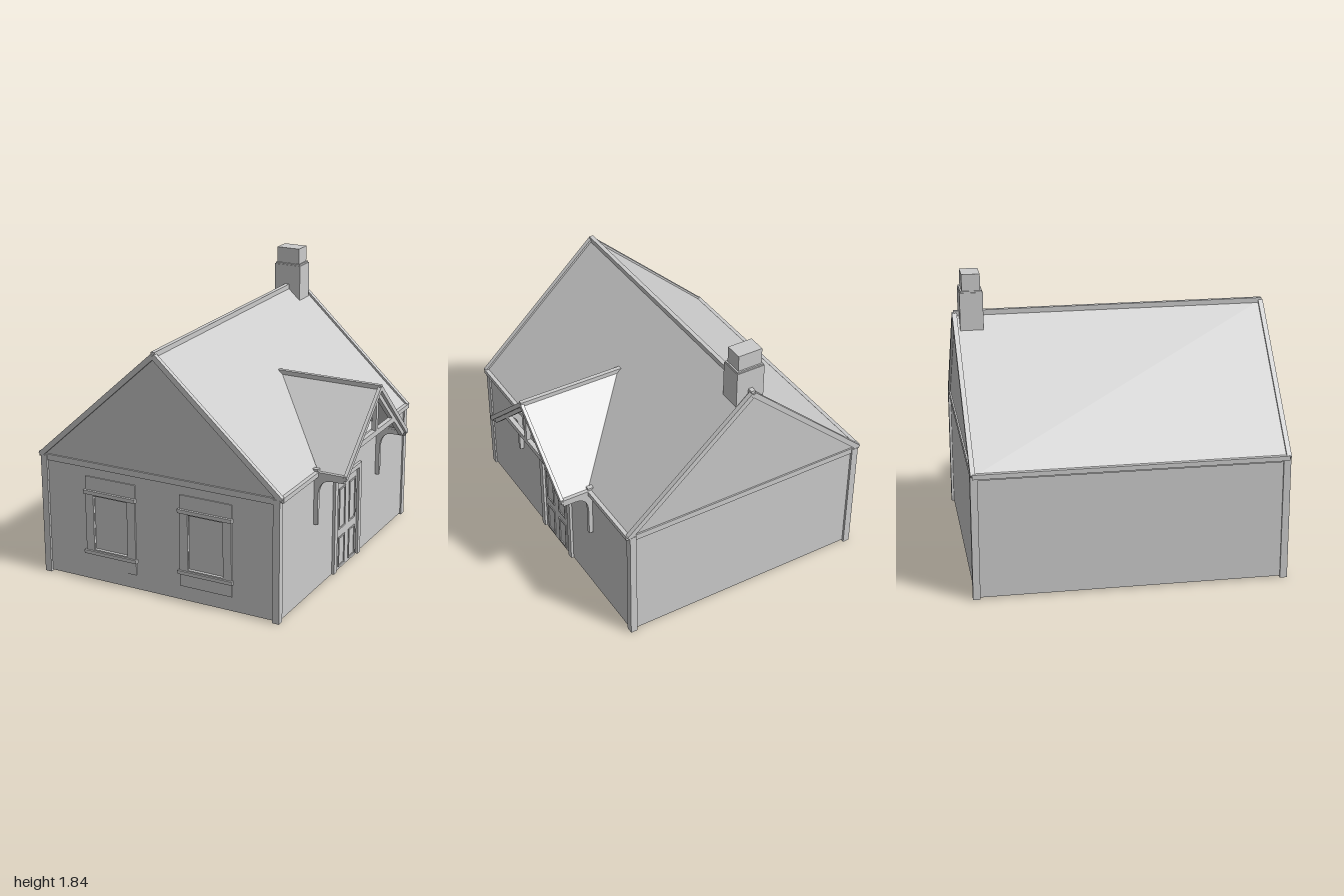
import * as THREE from 'three';

const material = new THREE.MeshStandardMaterial({ color: 0xcccccc, flatShading: true, side: THREE.DoubleSide });
const RX = -0.1; // ridge line of the main roof

function add(parent, name, geometry) {
  const m = new THREE.Mesh(geometry, material);
  m.name = name;
  parent.add(m);
  return m;
}

// Box given by its extents
function box(parent, name, x0, x1, y0, y1, z0, z1) {
  const m = add(parent, name, new THREE.BoxGeometry(x1 - x0, y1 - y0, z1 - z0));
  m.position.set((x0 + x1) / 2, (y0 + y1) / 2, (z0 + z1) / 2);
  return m;
}

// Square timber between two points: w is horizontal, h is across
function beam(parent, name, a, b, w, h) {
  const A = new THREE.Vector3(...a), B = new THREE.Vector3(...b);
  const m = add(parent, name, new THREE.BoxGeometry(w, h, A.distanceTo(B)));
  m.position.copy(A).add(B).multiplyScalar(0.5);
  m.lookAt(B);
  return m;
}

// Flat convex sheet, corners counter-clockwise from outside
function sheet(parent, name, ...pts) {
  const pos = [];
  for (let i = 1; i < pts.length - 1; i++) pos.push(...pts[0], ...pts[i], ...pts[i + 1]);
  const g = new THREE.BufferGeometry();
  g.setAttribute('position', new THREE.Float32BufferAttribute(pos, 3));
  g.computeVertexNormals();
  return add(parent, name, g);
}

function rectPath(Type, x0, x1, y0, y1) {
  return new Type([[x0, y0], [x1, y0], [x1, y1], [x0, y1]].map(p => new THREE.Vector2(...p)));
}

// Rectangular frame in the xy plane, extruded along z
function frame(parent, name, outer, inner, z, depth) {
  const s = rectPath(THREE.Shape, ...outer);
  s.holes.push(rectPath(THREE.Path, ...inner));
  const m = add(parent, name, new THREE.ExtrudeGeometry(s, { depth, bevelEnabled: false }));
  m.position.z = z;
  return m;
}

function makeWalls() {
  const g = new THREE.Group();
  g.name = 'walls';
  const x0 = -0.93, x1 = 0.73, z = 0.967, y0 = 0.01, y1 = 0.81;
  // front wall with two window openings
  const s = rectPath(THREE.Shape, x0, x1, y0, y1);
  for (const c of [-0.44, 0.235]) s.holes.push(rectPath(THREE.Path, c - 0.12, c + 0.12, 0.22, 0.585));
  add(g, 'frontWall', new THREE.ShapeGeometry(s)).position.z = z;
  sheet(g, 'backWall', [x1, y0, -z], [x0, y0, -z], [x0, y1, -z], [x1, y1, -z]);
  sheet(g, 'leftWall', [x1, y0, z], [x1, y0, -z], [x1, y1, -z], [x1, y1, z]);
  sheet(g, 'rightWall', [x0, y0, -z], [x0, y0, z], [x0, y1, z], [x0, y1, -z]);
  // gables lean out a little towards the ridge
  sheet(g, 'frontGable', [x0, 0.8, z], [x1, 0.8, z], [RX, 1.57, 0.982]);
  sheet(g, 'backGable', [x1, 0.8, -z], [x0, 0.8, -z], [RX, 1.57, -0.982]);
  for (const sz of [1, -1]) {
    for (const x of [-0.9175, 0.7175]) {
      const p = box(g, 'cornerPost', x - 0.0225, x + 0.0225, 0, 0.8, -0.0225, 0.0225);
      p.position.z = sz * 0.96;
    }
    const t = box(g, 'gableTrim', -0.93, 0.73, 0.768, 0.808, -0.01, 0.01);
    t.position.z = sz * 0.967;
  }
  box(g, 'sideTrim', 0.72, 0.738, 0.77, 0.8, -0.96, 0.96);
  box(g, 'sideTrim', -0.938, -0.92, 0.77, 0.8, -0.96, 0.96);
  return g;
}

function makeRoof() {
  const g = new THREE.Group();
  g.name = 'mainRoof';
  for (const s of [1, -1]) {
    const e = RX + s * 0.85; // eave position
    const p = [[e, 0.8, 0.965], [e, 0.8, -0.965], [RX, 1.572, -0.985], [RX, 1.572, 0.985]];
    sheet(g, 'roofSlope', ...(s > 0 ? p : p.reverse()));
    for (const sz of [1, -1])
      beam(g, 'rakeBoard', [e - s * 0.004, 0.798, sz * 0.966], [RX, 1.568, sz * 0.984], 0.03, 0.034);
    const x = RX + s * 0.847;
    box(g, 'eaveBoard', x - 0.013, x + 0.013, 0.785, 0.815, -0.97, 0.97);
  }
  box(g, 'ridgeBoard', RX - 0.014, RX + 0.014, 1.56, 1.592, -0.99, 0.99);
  return g;
}

function makeChimney() {
  const g = new THREE.Group();
  g.name = 'chimney';
  box(g, 'chimneyBase', -0.195, -0.005, 1.47, 1.725, -0.955, -0.81);
  box(g, 'chimneyShoulder', -0.19, -0.01, 1.725, 1.735, -0.95, -0.815);
  box(g, 'chimneyTop', -0.183, -0.02, 1.735, 1.84, -0.94, -0.825);
  return g;
}

function makeWindow(cx) {
  const g = new THREE.Group();
  g.name = 'window';
  box(g, 'apron', -0.18, 0.18, 0.105, 0.19, 0.96, 0.974);
  box(g, 'lintel', -0.18, 0.18, 0.62, 0.71, 0.96, 0.974);
  box(g, 'sill', -0.19, 0.19, 0.19, 0.213, 0.955, 0.99);
  box(g, 'head', -0.187, 0.187, 0.595, 0.62, 0.955, 0.99);
  frame(g, 'casing', [-0.18, 0.18, 0.213, 0.595], [-0.122, 0.122, 0.222, 0.585], 0.955, 0.023);
  box(g, 'pane', -0.122, 0.122, 0.222, 0.585, 0.95, 0.957);
  g.position.x = cx;
  return g;
}

// Built facing +z, then turned to face +x
function makeDoor() {
  const g = new THREE.Group();
  g.name = 'door';
  for (const s of [1, -1]) box(g, 'jamb', s * 0.185 - 0.02, s * 0.185 + 0.02, 0.01, 0.65, 0.72, 0.748);
  box(g, 'doorHead', -0.165, 0.165, 0.62, 0.65, 0.72, 0.748);
  box(g, 'doorLeaf', -0.155, 0.155, 0.01, 0.61, 0.725, 0.736);
  for (const s of [1, -1]) for (const [y0, y1] of [[0.03, 0.235], [0.29, 0.57]]) {
    const c = s * 0.078;
    frame(g, 'panelMoulding', [c - 0.048, c + 0.048, y0, y1], [c - 0.038, c + 0.038, y0 + 0.01, y1 - 0.01], 0.73, 0.012);
  }
  g.rotation.y = Math.PI / 2;
  return g;
}

function makePorch() {
  const g = new THREE.Group();
  g.name = 'porch';
  // curved bracket profile
  const b = new THREE.Shape();
  b.moveTo(0.73, 0.465);
  b.lineTo(0.757, 0.465);
  b.lineTo(0.757, 0.65);
  b.bezierCurveTo(0.757, 0.73, 0.79, 0.768, 0.85, 0.768);
  b.lineTo(0.93, 0.768);
  b.lineTo(0.93, 0.8);
  b.lineTo(0.73, 0.8);
  const bracket = new THREE.ExtrudeGeometry(b, { depth: 0.024, bevelEnabled: false, curveSegments: 8 });
  for (const s of [1, -1]) {
    // triangular-ended slope running into the main roof
    const p = [[0.76, 0.8, s * 0.485], [0.942, 0.8, s * 0.485], [0.95, 1.245, 0], [0.26, 1.245, 0]];
    sheet(g, 'porchSlope', ...(s > 0 ? p : p.reverse()));
    beam(g, 'porchRake', [0.935, 0.797, s * 0.485], [0.945, 1.242, 0], 0.022, 0.028);
    beam(g, 'trussRafter', [0.915, 0.79, s * 0.455], [0.915, 1.21, 0], 0.03, 0.03);
    box(g, 'porchEave', 0.725, 0.945, 0.788, 0.815, s * 0.482 - 0.012, s * 0.482 + 0.012);
    box(g, 'eaveJoint', 0.715, 0.755, 0.8, 0.83, s * 0.475 - 0.015, s * 0.475 + 0.015);
    add(g, 'bracket', bracket).position.z = s * 0.48 - 0.012;
  }
  box(g, 'porchRidge', 0.24, 0.952, 1.228, 1.26, -0.014, 0.014);
  box(g, 'collarBeam', 0.9, 0.93, 0.925, 0.96, -0.31, 0.31);
  box(g, 'kingPost', 0.9, 0.93, 0.96, 1.23, -0.016, 0.016);
  return g;
}

export function createModel() {
  const house = new THREE.Group();
  house.name = 'cottage';
  house.add(makeWalls(), makeRoof(), makeChimney(), makeWindow(-0.44), makeWindow(0.235), makeDoor(), makePorch());
  return house;
}
